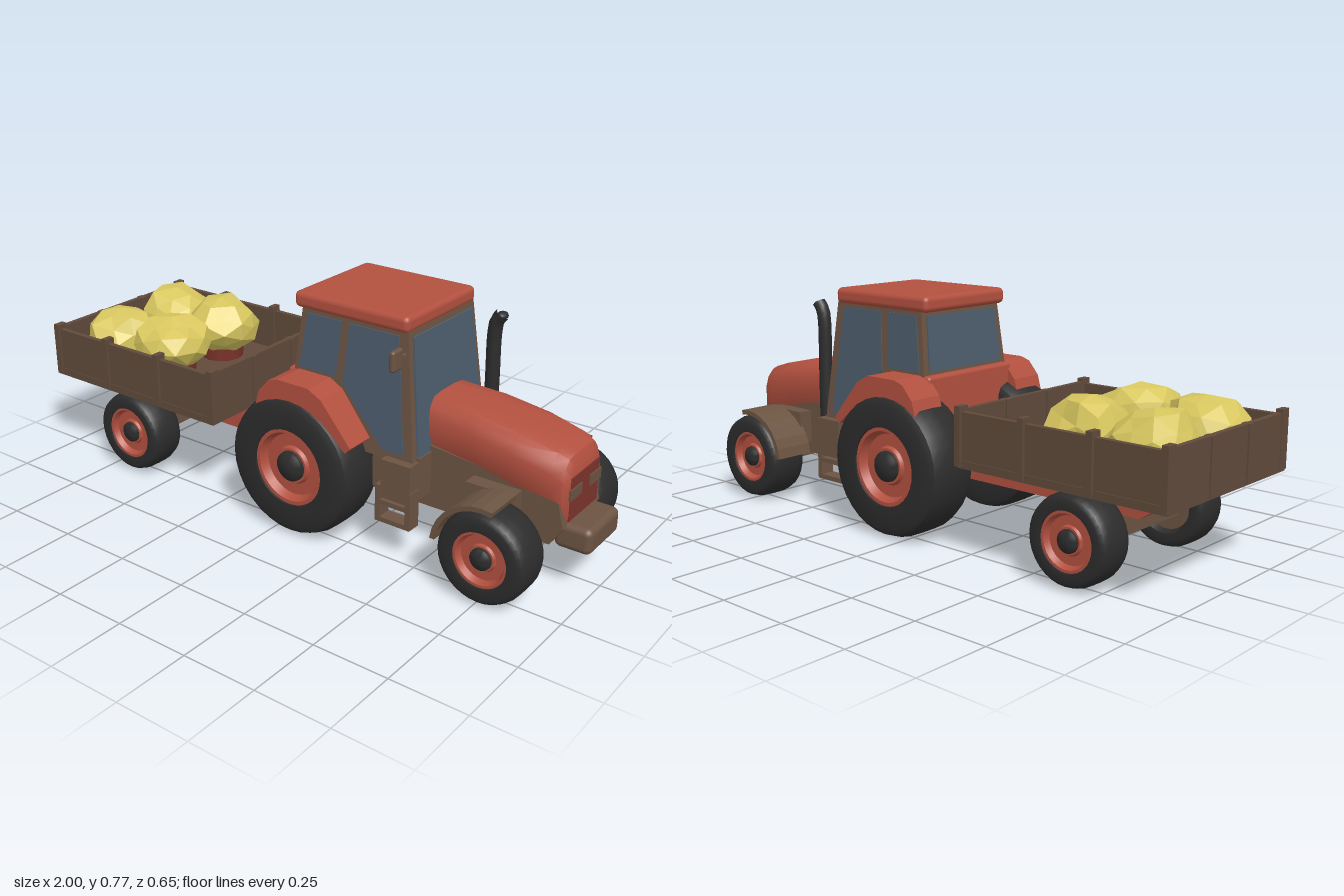
import * as THREE from 'three';
import { toCreasedNormals } from 'three/addons/utils/BufferGeometryUtils.js';
import { RoundedBoxGeometry } from 'three/addons/geometries/RoundedBoxGeometry.js';

const mat = (name, color) => {
  const m = new THREE.MeshStandardMaterial({ color });
  m.name = name;
  return m;
};

export function createModel() {
  const red = mat('red paint', 0xb2503f);
  const darkRed = mat('dark red', 0x7d342c);
  const brown = mat('brown metal', 0x6c5442);
  const wood = mat('trailer brown', 0x604a3b);
  const black = mat('black rubber', 0x2c2c2c);
  const glass = mat('glass', 0x4c5c6c);
  const yellow = mat('yellow load', 0xd8c75f);

  const model = new THREE.Group();
  model.name = 'tractorWithTrailer';

  const add = (name, geo, material, parent = model) => {
    const m = new THREE.Mesh(geo, material);
    m.name = name;
    parent.add(m);
    return m;
  };
  // box given by its lower and upper limits
  const box = (name, material, x0, x1, y0, y1, z0, z1, round = 0) => {
    const s = [x1 - x0, y1 - y0, z1 - z0];
    const g = round ? new RoundedBoxGeometry(...s, 3, round) : new THREE.BoxGeometry(...s);
    g.translate((x0 + x1) / 2, (y0 + y1) / 2, (z0 + z1) / 2);
    return add(name, g, material);
  };
  // side outline extruded between two z values
  const slab = (pts, z0, z1) => {
    const shape = new THREE.Shape(pts.map(p => new THREE.Vector2(...p)));
    const g = new THREE.ExtrudeGeometry(shape, { depth: z1 - z0, bevelEnabled: false });
    return g.translate(0, 0, z0);
  };
  const bothSides = fn => [1, -1].forEach(fn);
  const mirrorSlab = (name, material, pts, z0, z1) => bothSides(s =>
    add(name, s > 0 ? slab(pts, z0, z1) : slab(pts, -z1, -z0), material));

  // ---- wheels ----
  const wheel = (name, x, y, z, r, w, rim) => bothSides(s => {
    const g = new THREE.Group();
    g.name = name;
    g.position.set(x, y, z * s);
    g.rotation.x = s * Math.PI / 2;
    model.add(g);
    const lathe = (part, pts, m) => add(part, toCreasedNormals(
      new THREE.LatheGeometry(pts.map(p => new THREE.Vector2(...p)), 32), 0.7), m, g);
    lathe('tire', [[rim * 0.9, -w * 0.3], [rim, -w * 0.47], [r * 0.86, -w * 0.5], [r * 0.95, -w * 0.44],
      [r, -w * 0.28], [r * 1.005, 0], [r, w * 0.28], [r * 0.95, w * 0.44], [r * 0.86, w * 0.5],
      [rim, w * 0.47], [rim * 0.98, w * 0.36]], black);
    lathe('rim', [[rim, w * 0.44], [rim * 0.9, w * 0.44], [rim * 0.8, w * 0.3], [rim * 0.5, w * 0.3],
      [rim * 0.45, w * 0.36], [0, w * 0.36]], red);
    lathe('hub', [[rim * 0.4, w * 0.3], [rim * 0.38, w * 0.42], [rim * 0.25, w * 0.49], [0, w * 0.5]], black);
    lathe('innerDisc', [[0, -w * 0.3], [rim * 0.95, -w * 0.3]], brown);
  });
  wheel('rearWheel', 0.065, 0.24, 0.232, 0.235, 0.19, 0.13);
  wheel('frontWheel', 0.76, 0.155, 0.25, 0.147, 0.142, 0.09);
  wheel('trailerWheel', -0.66, 0.15, 0.25, 0.14, 0.13, 0.092);

  // ---- tractor underbody and axles ----
  add('underbody', slab([[-0.13, 0.2], [-0.1, 0.31], [0.44, 0.36], [0.74, 0.33], [0.9, 0.3], [0.92, 0.22],
    [0.88, 0.16], [0.5, 0.15], [0, 0.15]], -0.12, 0.12), brown);
  box('frontAxle', brown, 0.7, 0.82, 0.13, 0.19, -0.22, 0.22);
  box('rearAxle', brown, 0, 0.13, 0.18, 0.3, -0.2, 0.2);
  box('frontWeight', brown, 0.88, 1, 0.145, 0.23, -0.1, 0.1, 0.022);

  // ---- hood, lofted along x: [x, half width, bottom, top] ----
  const sections = [[0.44, 0.115, 0.33, 0.508], [0.6, 0.13, 0.33, 0.497], [0.75, 0.137, 0.31, 0.474],
    [0.87, 0.126, 0.27, 0.447], [0.905, 0.115, 0.235, 0.432], [0.92, 0.1, 0.23, 0.405]];
  const half = [[0.86, 0], [1, 0.3], [1, 0.66], [0.9, 0.84], [0.7, 0.97], [0.3, 1]];
  const ring = [...half.map(([z, t]) => [-z, t]), ...half.slice().reverse()];
  const n = ring.length, pos = [], idx = [];
  for (const [x, w, b, t] of sections) for (const [z, f] of ring) pos.push(x, b + (t - b) * f, z * w);
  for (let i = 0; i < sections.length - 1; i++) for (let k = 0; k < n; k++) {
    const a = i * n + k, b = i * n + (k + 1) % n;
    idx.push(a, b, a + n, b, b + n, a + n);
  }
  const last = (sections.length - 1) * n;
  pos.push(0.92, 0.32, 0);
  for (let k = 0; k < n; k++) idx.push(last + n, last + k, last + (k + 1) % n);
  const hood = new THREE.BufferGeometry();
  hood.setAttribute('position', new THREE.Float32BufferAttribute(pos, 3));
  hood.setIndex(idx);
  hood.computeVertexNormals();
  add('hood', toCreasedNormals(hood, 0.6), red);
  box('grille', darkRed, 0.917, 0.923, 0.235, 0.375, -0.09, 0.09);
  bothSides(s => box('headlight', brown, 0.919, 0.927, 0.305, 0.34, s * 0.062 - 0.036, s * 0.062 + 0.036));

  // ---- cab: sides lean inward with height ----
  const lean = g => {
    const p = g.attributes.position;
    for (let i = 0; i < p.count; i++) {
      p.setZ(i, p.getZ(i) * (1 - (p.getY(i) - 0.33) * 0.33));
    }
    g.computeVertexNormals();
    return g;
  };
  add('cabFrame', lean(slab([[0.46, 0.32], [0.415, 0.735], [0.025, 0.735], [0, 0.52], [0, 0.42], [0.28, 0.32]],
    -0.21, 0.21)), brown);
  const windows = {
    doorWindow: [[0.205, 0.715], [0.385, 0.715], [0.425, 0.345], [0.35, 0.345], [0.27, 0.43], [0.19, 0.52]],
    rearSideWindow: [[0.045, 0.715], [0.175, 0.715], [0.162, 0.535], [0.02, 0.535]],
  };
  for (const [name, pts] of Object.entries(windows)) bothSides(s =>
    add(name, lean(slab(pts, s > 0 ? 0.208 : -0.214, s > 0 ? 0.214 : -0.208)), glass));
  add('windshield', lean(slab([[0.46, 0.34], [0.465, 0.34], [0.424, 0.712], [0.417, 0.712]], -0.188, 0.188)), glass);
  add('rearWindow', lean(slab([[0.023, 0.712], [0.018, 0.712], [-0.003, 0.535], [0.004, 0.535]], -0.185, 0.185)), glass);
  box('rearPanel', red, -0.025, 0.15, 0.3, 0.525, -0.2, 0.2, 0.012);
  box('roof', red, -0.005, 0.418, 0.725, 0.778, -0.192, 0.192, 0.018);
  box('cabFloor', brown, 0.3, 0.47, 0.2, 0.34, -0.19, 0.19);

  // ---- fenders ----
  mirrorSlab('rearFender', red, [[-0.075, 0.4], [-0.055, 0.47], [-0.015, 0.515], [0.02, 0.526], [0.14, 0.526],
    [0.19, 0.5], [0.3, 0.37], [0.28, 0.35], [0.19, 0.43], [0.065, 0.465], [-0.05, 0.4]], 0.185, 0.31);
  const arch = [];
  for (let i = 0; i <= 8; i++) arch.push([THREE.MathUtils.degToRad(78 + i * 12), 0.169]);
  for (let i = 8; i >= 0; i--) arch.push([THREE.MathUtils.degToRad(78 + i * 12), 0.153]);
  mirrorSlab('frontFender', brown, arch.map(([a, r]) =>
    [0.76 + r * Math.cos(a), 0.155 + r * Math.sin(a)]), 0.175, 0.315);
  bothSides(s => box('frontFenderBracket', brown, 0.63, 0.79, 0.2, 0.315, s * 0.16 - 0.025, s * 0.16 + 0.025));

  // ---- steps ----
  bothSides(s => {
    const z0 = s > 0 ? 0.19 : -0.24, z1 = s > 0 ? 0.24 : -0.19;
    box('stepBlock', brown, 0.365, 0.47, 0.2, 0.33, z0, z1);
    for (const x of [0.345, 0.455]) box('stepSide', brown, x, x + 0.018, 0.115, 0.24, z0, z1);
    for (const y of [0.115, 0.175]) box('stepTread', brown, 0.345, 0.473, y, y + 0.016, z0, z1);
  });

  // ---- exhaust and mirror ----
  const pipe = new THREE.CatmullRomCurve3([[0.505, 0.3], [0.505, 0.5], [0.505, 0.65], [0.512, 0.69], [0.53, 0.715]]
    .map(([x, y]) => new THREE.Vector3(x, y, -0.168)));
  add('exhaustPipe', new THREE.TubeGeometry(pipe, 20, 0.023, 12), black);
  const tip = add('exhaustTip', new THREE.SphereGeometry(0.023, 12, 8), black);
  tip.position.set(0.528, 0.708, -0.168);
  tip.scale.set(0.8, 0.6, 1);
  box('mirror', brown, 0.4, 0.42, 0.628, 0.695, 0.21, 0.264, 0.009);
  box('mirrorArm', brown, 0.403, 0.415, 0.655, 0.667, 0.17, 0.22);

  // ---- trailer chassis ----
  add('trailerFrame', slab([[-0.93, 0.3], [-0.78, 0.2], [-0.08, 0.2], [-0.08, 0.3]], -0.125, 0.125), red);
  box('drawbarCover', wood, -0.26, -0.08, 0.3, 0.307, -0.125, 0.125);
  box('trailerAxle', brown, -0.7, -0.62, 0.12, 0.2, -0.22, 0.22);

  // ---- trailer bed ----
  box('bedFloor', wood, -0.995, -0.25, 0.295, 0.32, -0.315, 0.315);
  bothSides(s => {
    const z = s * 0.303;
    box('sideBoard', wood, -0.99, -0.255, 0.3, 0.468, z - 0.009, z + 0.009);
    for (const x of [-0.985, -0.742, -0.499, -0.256])
      box('sidePost', wood, x - 0.011, x + 0.011, 0.3, 0.485, z - 0.019, z + 0.019);
    const x = s > 0 ? -0.26 : -0.985;
    box('endBoard', wood, x - 0.009, x + 0.009, 0.3, 0.475, -0.3, 0.3);
    for (const pz of [-0.1, 0.1]) box('endPost', wood, x - 0.014, x + 0.014, 0.3, 0.475, pz - 0.012, pz + 0.012);
  });

  // ---- crumpled yellow load on low dark bases ----
  [[-0.83, -0.135, 0.435], [-0.61, -0.135, 0.442], [-0.83, 0.135, 0.435], [-0.605, 0.125, 0.448]]
    .forEach(([x, z, y], i) => {
      const g = new THREE.IcosahedronGeometry(1, 1);
      const p = g.attributes.position;
      const v = new THREE.Vector3();
      for (let k = 0; k < p.count; k++) {
        v.fromBufferAttribute(p, k);
        v.multiplyScalar(1 + 0.13 * Math.sin(v.x * 7 + i * 2.1) * Math.cos(v.z * 6 - i) + 0.06 * Math.sin(v.y * 9 + i));
        p.setXYZ(k, v.x * 0.13, v.y * 0.098, v.z * 0.135);
      }
      const flat = g.toNonIndexed === undefined || !g.index ? g : g.toNonIndexed();
      flat.computeVertexNormals();
      const lump = add('loadLump', flat, yellow);
      lump.position.set(x, y, z);
      lump.rotation.y = i * 0.8;
      const base = add('loadBase', new THREE.CylinderGeometry(0.085, 0.075, 0.1, 12), darkRed);
      base.position.set(x, 0.365, z);
    });

  return model;
}
